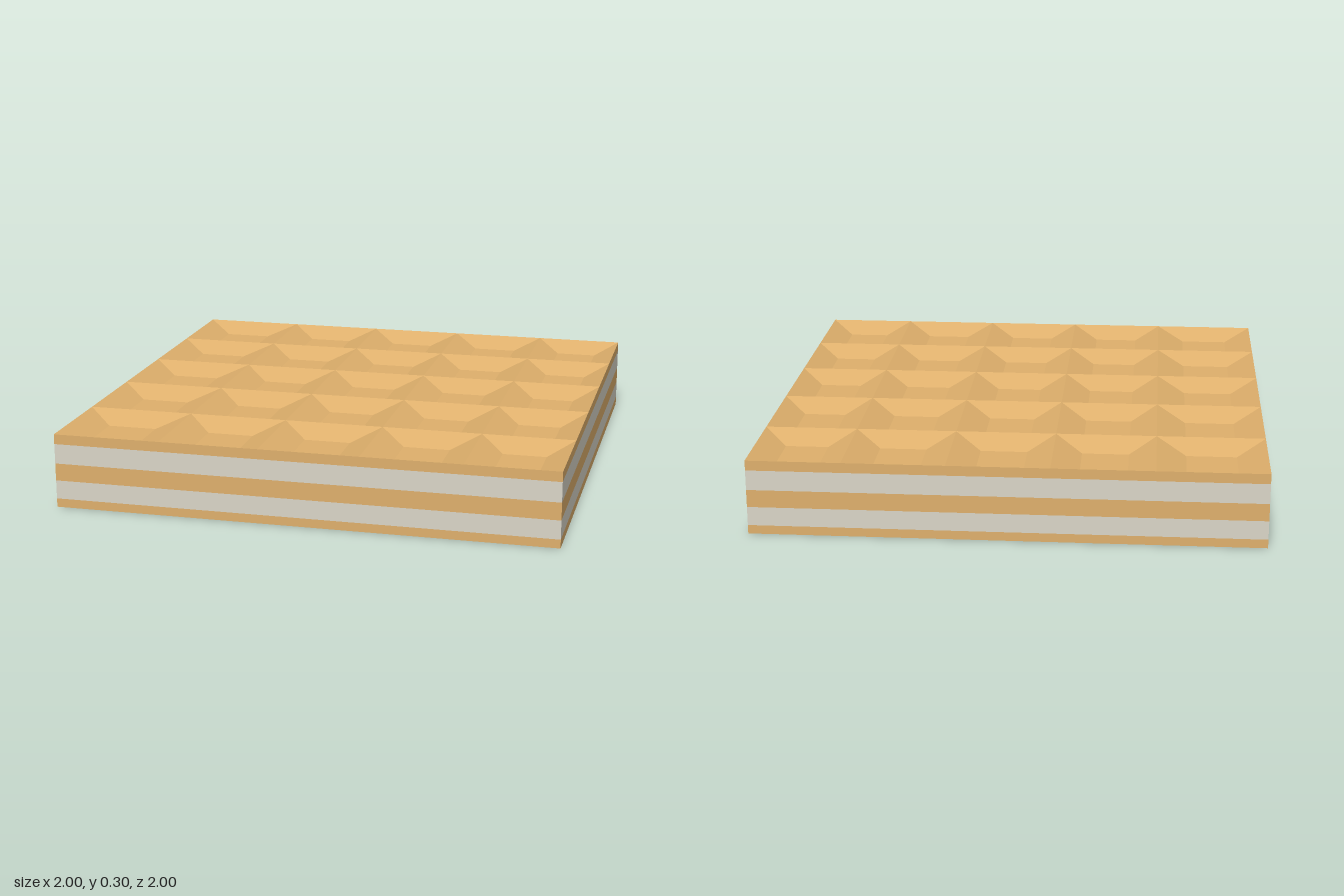
import * as THREE from 'three';

const WAFER = 0xdfb06c;
const CREAM = 0xdad6c8;
const HEIGHT = 0.3;
const INSET = 0.27; // pit wall width as a share of its cell
const xLines = [-1, -0.57, -0.17, 0.23, 0.63, 1];
const zLines = [-1, -0.6, -0.2, 0.2, 0.6, 1];

function material(color) {
  return new THREE.MeshStandardMaterial({ color, flatShading: true, side: THREE.DoubleSide });
}

// Four upright walls of one layer
function layer(name, y0, y1, color) {
  const geo = new THREE.CylinderGeometry(Math.SQRT2, Math.SQRT2, y1 - y0, 4, 1, true, Math.PI / 4);
  geo.translate(0, (y0 + y1) / 2, 0);
  const mesh = new THREE.Mesh(geo, material(color));
  mesh.name = name;
  return mesh;
}

// Sheet of square pits with sloping walls; dir is 1 facing up, -1 facing down
function pitSheet(name, y, depth, dir) {
  const points = [];
  const quad = (a, b, c, d) => {
    const order = dir > 0 ? [a, b, c, a, c, d] : [a, c, b, a, d, c];
    order.forEach((p) => points.push(...p));
  };
  const ring = (x0, x1, z0, z1, h) => [[x0, h, z0], [x0, h, z1], [x1, h, z1], [x1, h, z0]];
  for (let i = 0; i < 5; i++) {
    for (let j = 0; j < 5; j++) {
      const [x0, x1, z0, z1] = [xLines[i], xLines[i + 1], zLines[j], zLines[j + 1]];
      const dx = (x1 - x0) * INSET;
      const dz = (z1 - z0) * INSET;
      const rim = ring(x0, x1, z0, z1, y);
      const floor = ring(x0 + dx, x1 - dx, z0 + dz, z1 - dz, y - dir * depth);
      quad(...floor);
      for (let k = 0; k < 4; k++) {
        const n = (k + 1) % 4;
        quad(rim[k], rim[n], floor[n], floor[k]);
      }
    }
  }
  const geo = new THREE.BufferGeometry();
  geo.setAttribute('position', new THREE.Float32BufferAttribute(points, 3));
  geo.computeVertexNormals();
  const mesh = new THREE.Mesh(geo, material(WAFER));
  mesh.name = name;
  return mesh;
}

export function createModel() {
  const group = new THREE.Group();
  group.name = 'layeredWafer';
  // Side bands, from the bottom up
  group.add(
    layer('bottomWafer', 0, 0.035, WAFER),
    layer('lowerCream', 0.035, 0.11, CREAM),
    layer('middleWafer', 0.11, 0.18, WAFER),
    layer('upperCream', 0.18, 0.26, CREAM),
    layer('topWafer', 0.26, HEIGHT, WAFER)
  );
  // Pitted faces
  group.add(pitSheet('topPits', HEIGHT, 0.042, 1), pitSheet('bottomPits', 0, 0.042, -1));
  return group;
}
